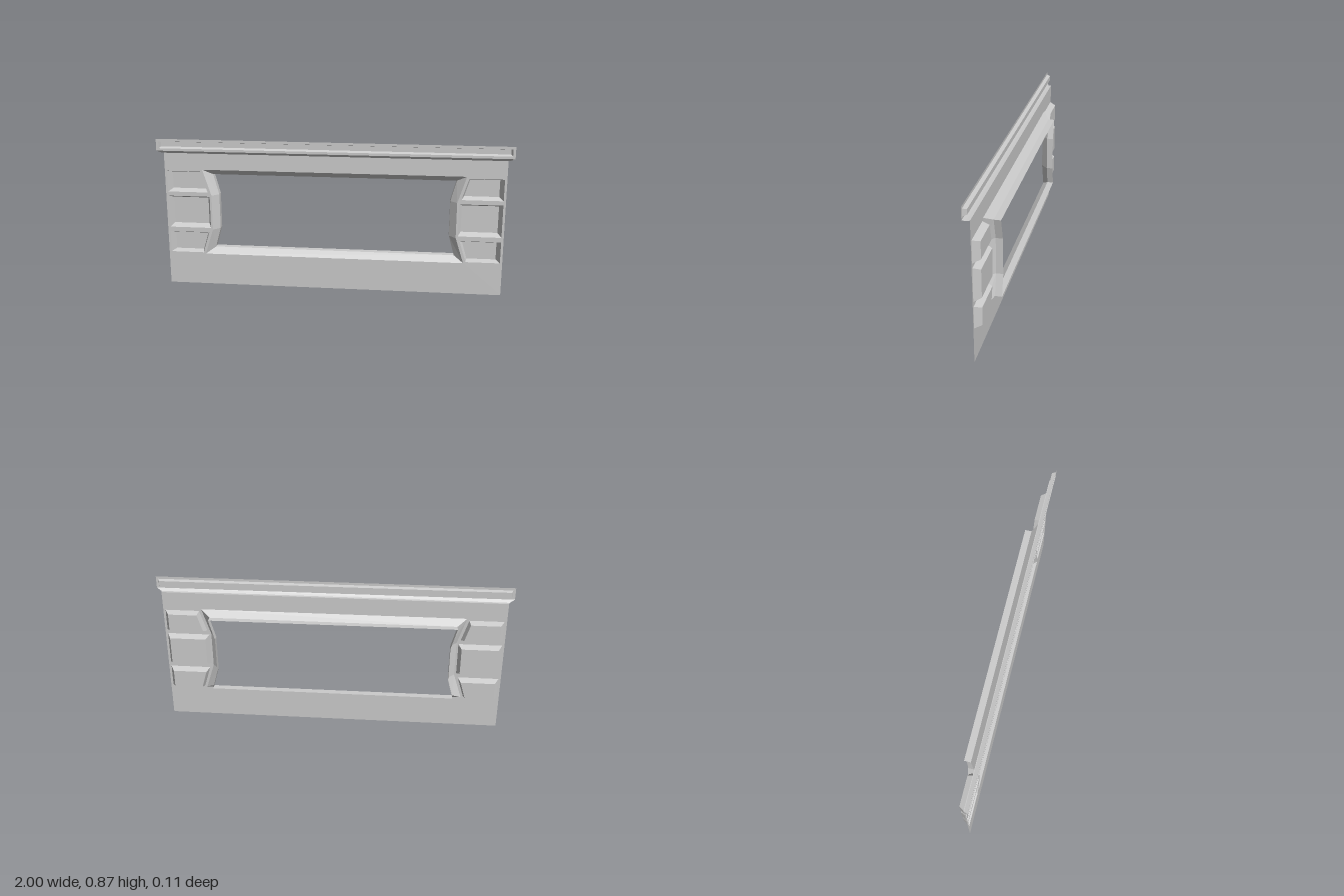
import * as THREE from 'three';

const FRONT = 0.023; // z of the main sheet
const material = new THREE.MeshStandardMaterial({
  color: 0xcccccc, flatShading: true, side: THREE.DoubleSide,
});

function addMesh(parent, geometry, name) {
  const mesh = new THREE.Mesh(geometry, material);
  mesh.name = name;
  parent.add(mesh);
}

// Surface through rows of [x, y, z] points; closed joins each row end to start
function rowsGeometry(rows, closed) {
  const pos = [];
  for (let r = 0; r < rows.length - 1; r++) {
    const a = rows[r], b = rows[r + 1], n = a.length;
    for (let i = 0; i < (closed ? n : n - 1); i++) {
      const j = (i + 1) % n;
      pos.push(...a[i], ...a[j], ...b[j], ...a[i], ...b[j], ...b[i]);
    }
  }
  const g = new THREE.BufferGeometry();
  g.setAttribute('position', new THREE.Float32BufferAttribute(pos, 3));
  g.computeVertexNormals();
  return g;
}

const toVectors = (loop) => loop.map(([x, y]) => new THREE.Vector2(x, y));
const atZ = (loop, z) => loop.map(([x, y]) => [x, y, z]);
const rect = (x0, y0, x1, y1) => [[x0, y0], [x1, y0], [x1, y1], [x0, y1]];
const mirrorX = (loop) => loop.map(([x, y]) => [-x, y]).reverse();

// Flat face with optional holes
function sheet(outline, holes, z) {
  const shape = new THREE.Shape(toVectors(outline));
  holes.forEach((h) => shape.holes.push(new THREE.Path(toVectors(h))));
  return new THREE.ShapeGeometry(shape).translate(0, 0, z);
}

// Sloped walls and a floor behind an opening
function addRecess(parent, opening, floor, zOpen, zFloor, name) {
  addMesh(parent, rowsGeometry([atZ(opening, zOpen), atZ(floor, zFloor)], true), name + 'Walls');
  addMesh(parent, sheet(floor, [], zFloor), name + 'Floor');
}

// Eight-sided window outline: corners flare outward, sides step inward
const windowLoop = (corner, side, y0, y1) => {
  const right = [[corner, y0], [side, 0.335], [side, 0.54], [corner, y1]];
  return [...right, ...mirrorX(right)];
};

export function createModel() {
  const group = new THREE.Group();

  // Window opening: bevel, then a straight return to the back
  const outer = windowLoop(0.748, 0.7, 0.186, 0.692);
  const inner = windowLoop(0.695, 0.663, 0.219, 0.659);
  addMesh(group, rowsGeometry([atZ(outer, FRONT), atZ(inner, -0.015), atZ(inner, -0.052)], true), 'windowFrame');

  // Three tapered pockets on each side: [opening, floor]
  const pockets = [
    [
      [[0.722, 0.558], [0.954, 0.558], [0.954, 0.681], [0.761, 0.681]],
      [[0.738, 0.572], [0.932, 0.572], [0.932, 0.669], [0.768, 0.669]],
    ],
    [rect(0.711, 0.345, 0.954, 0.533), rect(0.728, 0.362, 0.934, 0.518)],
    [
      [[0.761, 0.193], [0.954, 0.193], [0.954, 0.318], [0.722, 0.318]],
      [[0.768, 0.203], [0.932, 0.203], [0.932, 0.304], [0.738, 0.304]],
    ],
  ];
  const holes = [outer];
  for (const side of ['left', 'right']) {
    const pocketGroup = new THREE.Group();
    pocketGroup.name = side + 'Pockets';
    for (const pair of pockets) {
      const [opening, floor] = side === 'left' ? pair : pair.map(mirrorX);
      holes.push(opening);
      addRecess(pocketGroup, opening, floor, FRONT, -0.014, 'pocket');
    }
    group.add(pocketGroup);
  }

  // Main sheet
  addMesh(group, sheet(rect(-0.967, 0, 0.967, 0.79), holes, FRONT), 'panel');

  // Top rail: lip stepping forward, grooved front face
  const rail = new THREE.Group();
  rail.name = 'topRail';
  const lip = [[0.967, 0.79, FRONT], [0.972, 0.79, 0.04], [1, 0.804, 0.053]];
  addMesh(rail, rowsGeometry(lip.map(([x, y, z]) => [[-x, y, z], [x, y, z]]), false), 'railLip');
  const groove = rect(-0.986, 0.818, 0.986, 0.858);
  addMesh(rail, sheet(rect(-1, 0.804, 1, 0.872), [groove], 0.053), 'railFace');
  addRecess(rail, groove, rect(-0.978, 0.825, 0.978, 0.853), 0.053, 0.032, 'railGroove');
  group.add(rail);

  return group;
}
